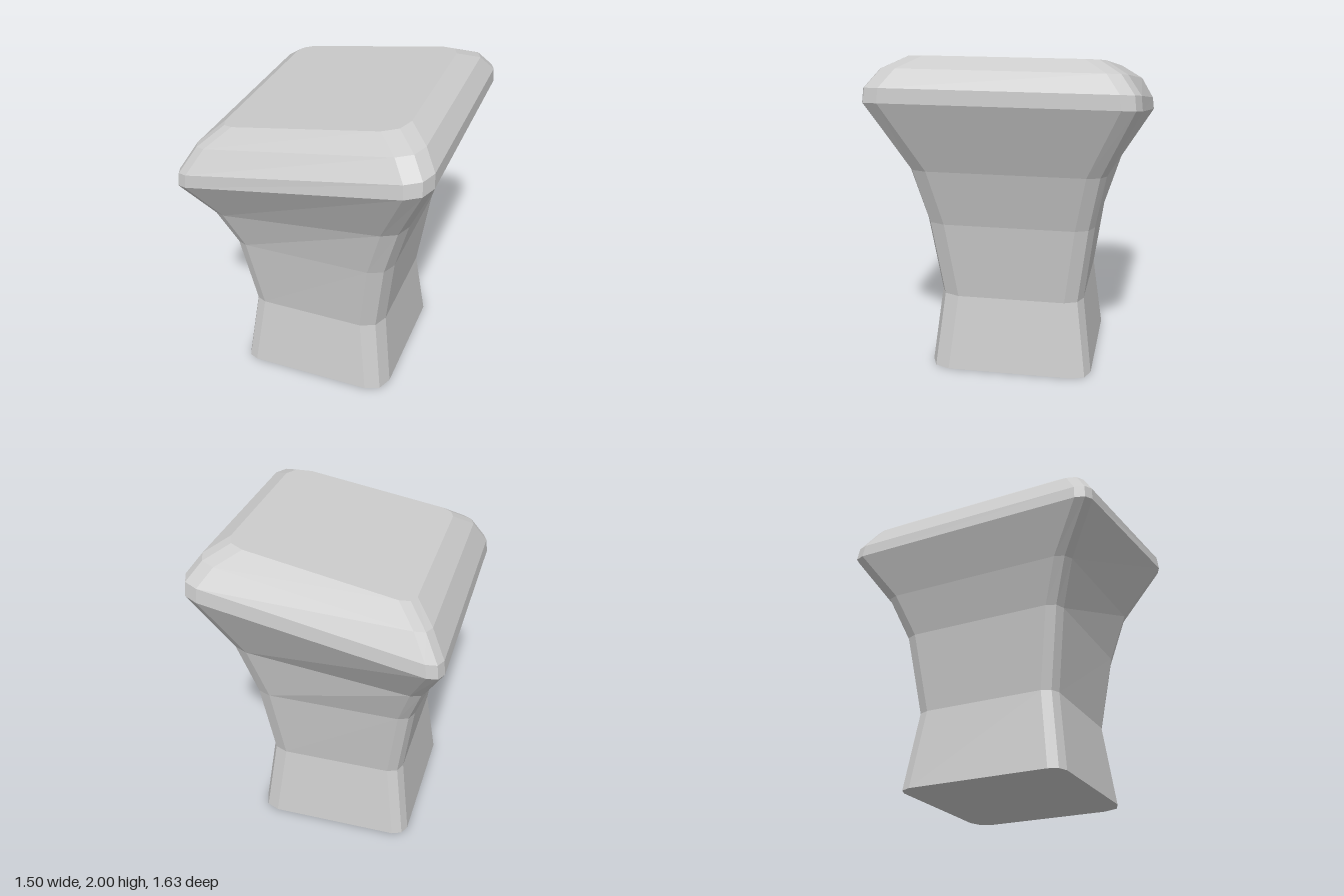
import * as THREE from 'three';

// Cross-sections from foot to crown; each is a rounded rectangle, tilted from right to left.
// Ends: x, y, front z, back z
const rings = [
  { left: [-0.535, 0, 0.515, -0.515], right: [0.455, 0, 0.515, -0.515] },
  { left: [-0.475, 0.48, 0.455, -0.455], right: [0.395, 0.48, 0.455, -0.455] },
  { left: [-0.545, 0.97, 0.525, -0.525], right: [0.46, 0.97, 0.52, -0.52] },
  { left: [-0.63, 1.225, 0.62, -0.625], right: [0.56, 1.325, 0.595, -0.59] },
  { left: [-0.75, 1.5, 0.805, -0.82], right: [0.745, 1.755, 0.81, -0.785] },
  { left: [-0.74, 1.58, 0.80, -0.81], right: [0.74, 1.84, 0.80, -0.775] },
  { left: [-0.655, 1.725, 0.72, -0.735], right: [0.665, 1.94, 0.72, -0.695] },
  { left: [-0.54, 1.82, 0.59, -0.605], right: [0.545, 2.0, 0.59, -0.565] },
];

// Corners in counter-clockwise order seen from above: side, z sign, radius
const corners = [
  ['right', -1, 0.11],
  ['left', -1, 0.085],
  ['left', 1, 0.08],
  ['right', 1, 0.13],
];
const CORNER_STEPS = 2;

function ringPoints({ left, right }) {
  const points = [];
  corners.forEach(([side, sz, r], c) => {
    const end = side === 'right' ? right : left;
    const sx = side === 'right' ? 1 : -1;
    const cx = end[0] - sx * r;
    const cz = (sz > 0 ? end[2] : end[3]) - sz * r;
    for (let k = 0; k <= CORNER_STEPS; k++) {
      const a = (c + k / CORNER_STEPS) * Math.PI / 2;
      const x = cx + r * Math.cos(a);
      const t = (x - left[0]) / (right[0] - left[0]);
      points.push([x, THREE.MathUtils.lerp(left[1], right[1], t), cz - r * Math.sin(a)]);
    }
  });
  return points;
}

export function createModel() {
  const group = new THREE.Group();
  const n = corners.length * (CORNER_STEPS + 1);
  const index = [];

  // Side walls between neighbouring cross-sections
  for (let j = 0; j < rings.length - 1; j++) {
    for (let i = 0; i < n; i++) {
      const a = j * n + i, b = j * n + (i + 1) % n;
      index.push(a, b, b + n, a, b + n, a + n);
    }
  }
  // Flat underside and sloping crown
  const top = (rings.length - 1) * n;
  for (let i = 1; i < n - 1; i++) {
    index.push(0, i + 1, i, top, top + i, top + i + 1);
  }

  const indexed = new THREE.BufferGeometry();
  indexed.setAttribute('position', new THREE.Float32BufferAttribute(rings.flatMap(ringPoints).flat(), 3));
  indexed.setIndex(index);
  const geometry = indexed.toNonIndexed();
  geometry.computeVertexNormals();

  const knob = new THREE.Mesh(geometry, new THREE.MeshStandardMaterial({ color: 0xcccccc, flatShading: true }));
  knob.name = 'knob';
  group.add(knob);
  return group;
}
